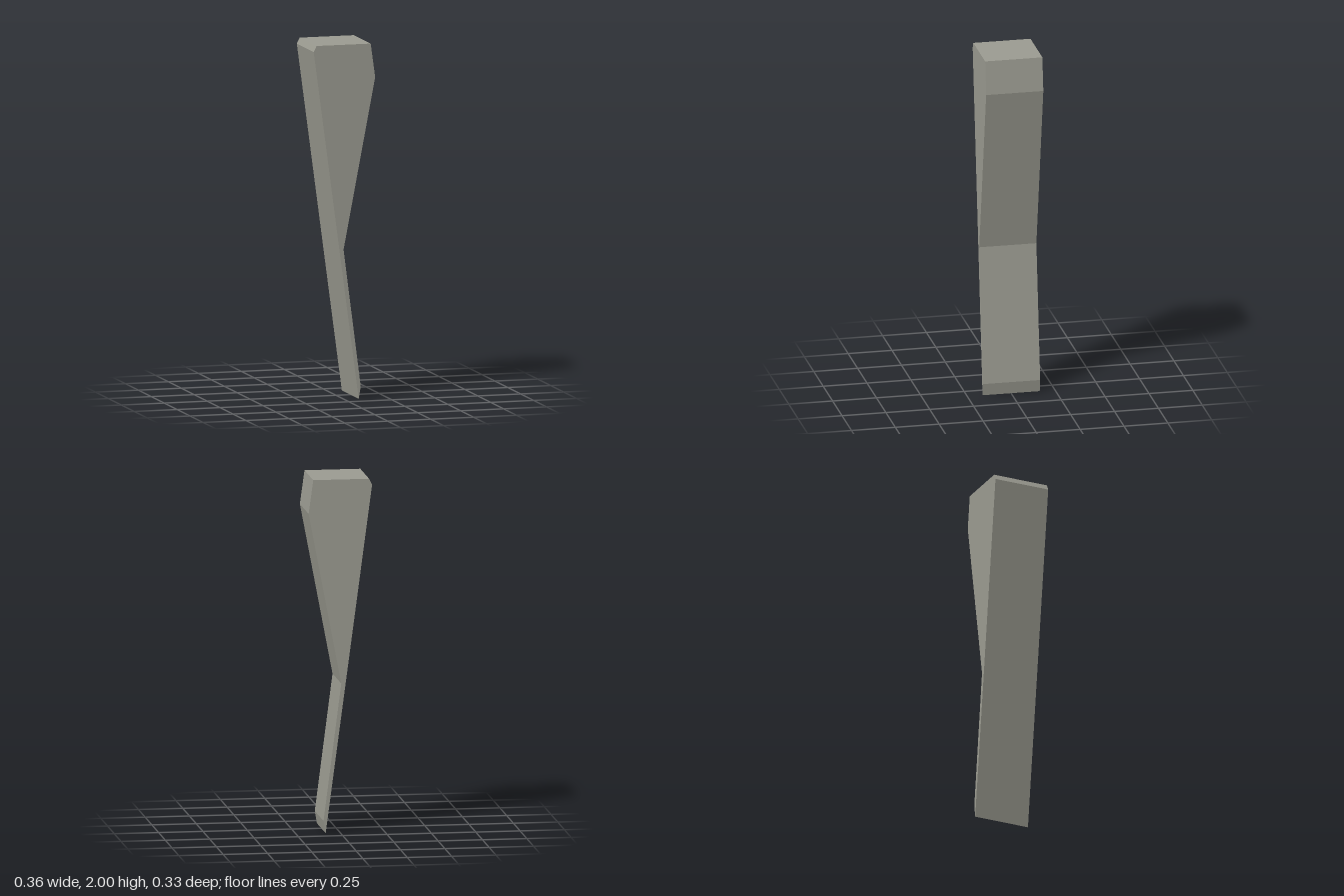
import * as THREE from 'three';

export function createModel() {
  const group = new THREE.Group();
  group.name = 'taperedLeg';

  const stone = new THREE.MeshStandardMaterial({ color: 0x9b9b91 });
  stone.name = 'warm grey';

  // Side outline of the leg, counter-clockwise from the tip
  const outline = [
    [0.083, 0], [0.095, 0.07], [-0.005, 0.845], [0.179, 1.81],
    [0.153, 2], [-0.162, 2], [-0.179, 1.967],
  ].map(([x, y]) => new THREE.Vector2(x, y));

  // Straight extrusion through the full depth
  const depth = 0.326;
  const geometry = new THREE.ExtrudeGeometry(new THREE.Shape(outline), {
    depth, bevelEnabled: false,
  });
  geometry.translate(0, 0, -depth / 2);

  const leg = new THREE.Mesh(geometry, stone);
  leg.name = 'leg';
  group.add(leg);
  return group;
}
